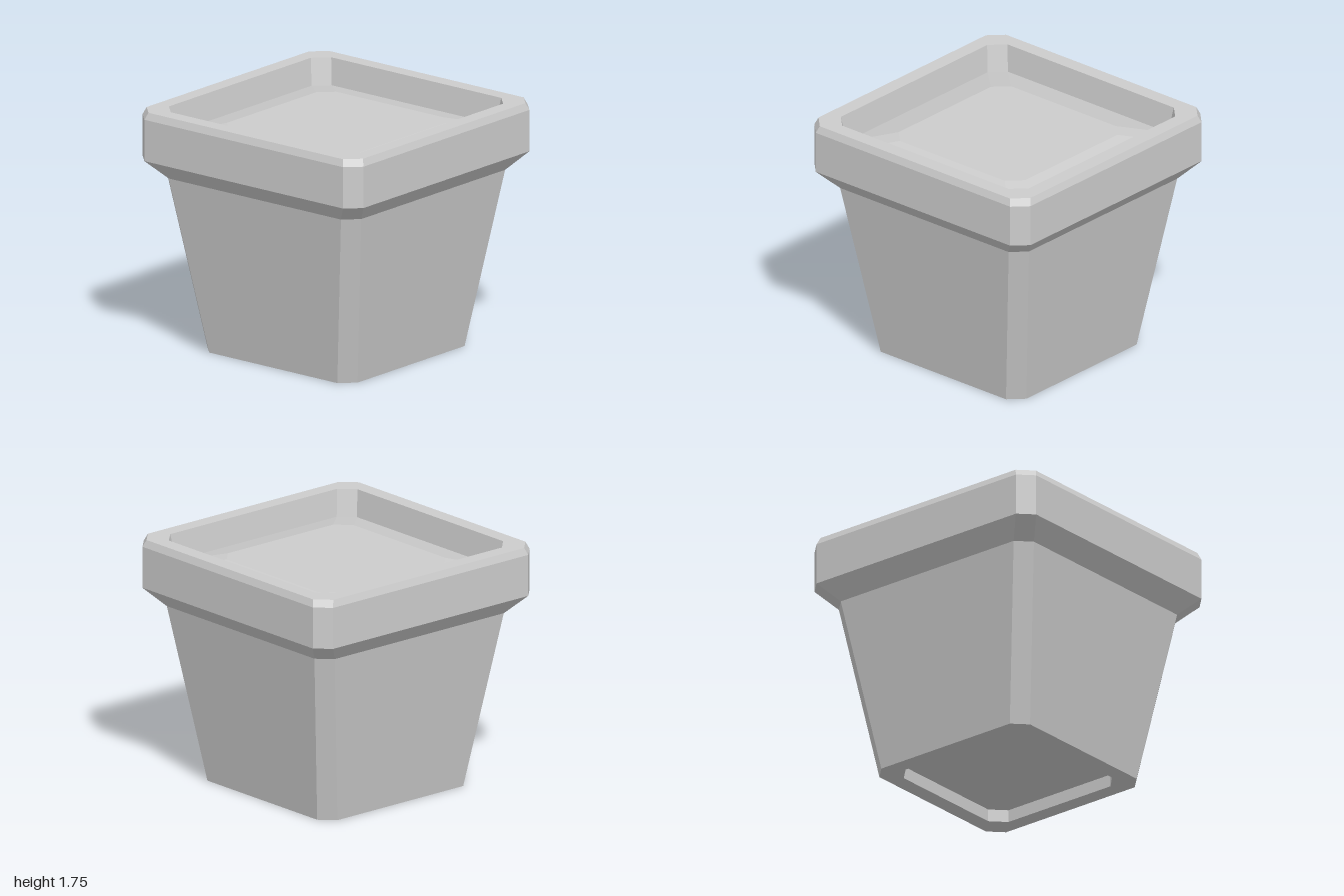
import * as THREE from 'three';

const CHAMFER = 0.1;

// Square ring with cut corners, half-width h, at height y
function ring(h, y) {
  const k = Math.max(h - CHAMFER, 0);
  return [[h, -k], [h, k], [k, h], [-k, h], [-h, k], [-h, -k], [-k, -h], [k, -h]]
    .map(([x, z]) => [x, y, z]);
}

// Faceted skin through [half-width, height] rings; a half-width of 0 closes the end
function loft(profile) {
  const pos = [];
  for (let i = 0; i < profile.length - 1; i++) {
    const [h0, y0] = profile[i], [h1, y1] = profile[i + 1];
    const lo = ring(h0, y0), hi = ring(h1, y1);
    for (let j = 0; j < 8; j++) {
      const n = (j + 1) % 8;
      if (h1 > 0) pos.push(...lo[j], ...hi[j], ...hi[n]);
      if (h0 > 0) pos.push(...lo[j], ...(h1 > 0 ? hi[n] : [0, y1, 0]), ...lo[n]);
    }
  }
  // Closed ends meet at the centre
  const geo = new THREE.BufferGeometry();
  geo.setAttribute('position', new THREE.Float32BufferAttribute(pos, 3));
  geo.computeVertexNormals();
  return geo;
}

export function createModel() {
  const group = new THREE.Group();
  group.name = 'planter';
  const grey = new THREE.MeshStandardMaterial({ color: 0xcccccc, flatShading: true });
  grey.name = 'light grey';

  const add = (name, profile) => {
    const mesh = new THREE.Mesh(loft(profile.map(([h, y]) => [h, y])), grey);
    mesh.name = name;
    group.add(mesh);
  };

  // Recessed underside, foot and tapered walls
  add('potBody', [[0.56, 0.09], [0.56, 0], [0.68, 0], [0.88, 1.27]]);
  // Ceiling of the recess under the pot, facing down
  add('potUnderside', [[0, 0.09], [0.56, 0.09]]);
  // Flared collar, bevelled lip and inner wall
  add('potRim', [[0.88, 1.27], [1, 1.4], [1, 1.7], [0.98, 1.75], [0.87, 1.75], [0.84, 1.56]]);
  // Gently mounded soil
  add('soil', [[0.84, 1.56], [0.585, 1.62], [0, 1.62]]);
  return group;
}
